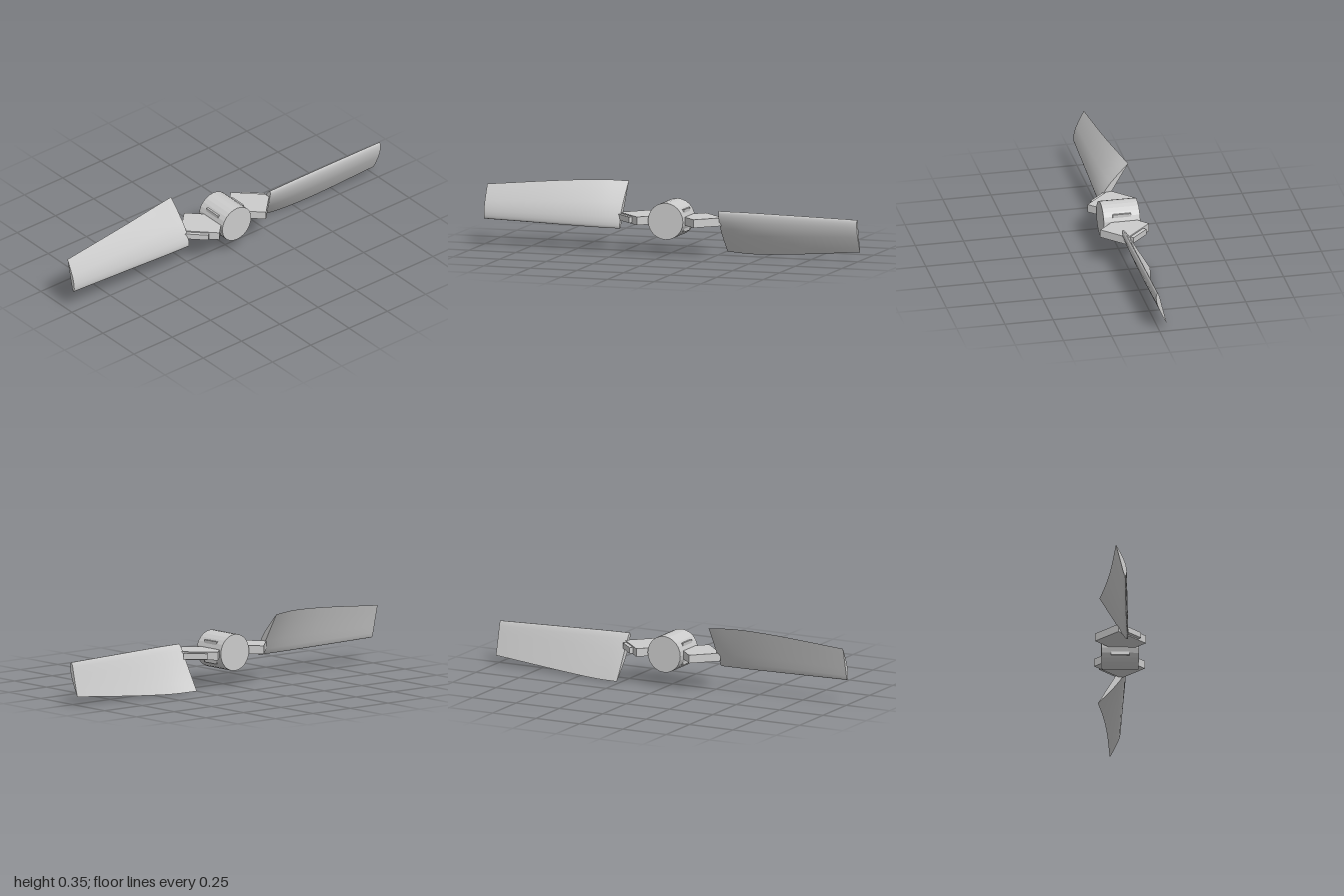
import * as THREE from 'three';

const AXIS_Y = 0.174;

// Airfoil from trailing edge, over the front face, round the nose, back along the rear face.
// [distance along chord, offset toward the front], both as fractions of the chord
const AIRFOIL = [
  [1, 0], [0.85, 0.033], [0.7, 0.062], [0.5, 0.092], [0.35, 0.102], [0.2, 0.092], [0.1, 0.068],
  [0.04, 0.043], [0.01, 0.02], [0, 0], [0.01, -0.012], [0.05, -0.024], [0.15, -0.028],
  [0.35, -0.02], [0.6, -0.011], [0.8, -0.005], [1, 0],
];

// Twisted, tapered blade lofted along +x, relative to the hub axis
function bladeGeometry() {
  const V = (x, y, z) => new THREE.Vector3(x, y - AXIS_Y, z);
  const leading = new THREE.CatmullRomCurve3([
    V(0.265, 0.231, 0.034), V(0.4, 0.23, 0.03), V(0.6, 0.226, 0.023), V(1, 0.217, 0.012)]);
  const trailing = new THREE.CatmullRomCurve3([
    V(0.265, 0.005, -0.108), V(0.4, 0.001, -0.083), V(0.6, 0.011, -0.06), V(1, 0.045, -0.036)]);
  const steps = 24, n = AIRFOIL.length;
  const pos = [], idx = [];
  const section = (i) => {
    const le = leading.getPoint(i / steps), te = trailing.getPoint(i / steps);
    const dy = te.y - le.y, dz = te.z - le.z;
    return AIRFOIL.map(([u, v]) => [le.x, le.y + dy * u + dz * v, le.z + dz * u - dy * v]);
  };
  // skin
  for (let i = 0; i <= steps; i++) section(i).forEach((p) => pos.push(...p));
  for (let i = 0; i < steps; i++) {
    for (let j = 0; j < n - 1; j++) {
      const a = i * n + j, b = a + 1, c = a + n, d = c + 1;
      idx.push(a, c, b, b, c, d);
    }
  }
  // end caps with their own vertices, so the rims stay sharp
  for (const i of [0, steps]) {
    const ring = section(i), base = pos.length / 3;
    const mid = [0, 1, 2].map((k) => (ring[4][k] + ring[13][k]) / 2);
    pos.push(...mid);
    ring.forEach((p) => pos.push(...p));
    for (let j = 1; j < n; j++) {
      if (i === 0) idx.push(base, base + j, base + j + 1);
      else idx.push(base, base + j + 1, base + j);
    }
  }
  const g = new THREE.BufferGeometry();
  g.setAttribute('position', new THREE.Float32BufferAttribute(pos, 3));
  g.setIndex(idx);
  g.computeVertexNormals();
  return g;
}

export function createModel() {
  const model = new THREE.Group();
  model.name = 'rotor';
  const grey = new THREE.MeshStandardMaterial({ color: 0xcccccc });
  grey.name = 'light grey';

  const add = (parent, name, geometry) => {
    const m = new THREE.Mesh(geometry, grey);
    m.name = name;
    parent.add(m);
    return m;
  };

  const rotor = new THREE.Group();
  rotor.name = 'rotorAssembly';
  rotor.position.y = AXIS_Y;
  model.add(rotor);

  // faceted hub along z
  const hub = new THREE.CylinderGeometry(0.094, 0.094, 0.189, 24).toNonIndexed();
  hub.rotateX(Math.PI / 2);
  hub.computeVertexNormals();
  add(rotor, 'hub', hub);

  // mounting pad breaking through both sides of the hub
  add(rotor, 'hubPad', new THREE.BoxGeometry(0.168, 0.115, 0.094));

  // diagonal root blocks, the second turned half a turn about y
  for (const side of [0, 1]) {
    const bracket = new THREE.Group();
    bracket.name = side ? 'rightBracket' : 'leftBracket';
    bracket.rotation.y = side * Math.PI;
    rotor.add(bracket);
    const arm = new THREE.Group();
    arm.name = 'bracketArm';
    arm.position.set(0.152, 0, 0);
    arm.rotation.y = Math.PI / 4;
    bracket.add(arm);
    // local x points outward and back, local z outward and forward
    add(arm, 'rootBlock', new THREE.BoxGeometry(0.167, 0.042, 0.198));
    add(arm, 'rootTongue', new THREE.BoxGeometry(0.02, 0.03, 0.12)).position.set(0.0925, 0, 0.015);
  }

  // two blades, half a turn apart about the hub axis
  const blade = bladeGeometry();
  for (const side of [0, 1]) {
    add(rotor, side ? 'rightBlade' : 'leftBlade', blade).rotation.z = side * Math.PI;
  }
  return model;
}
